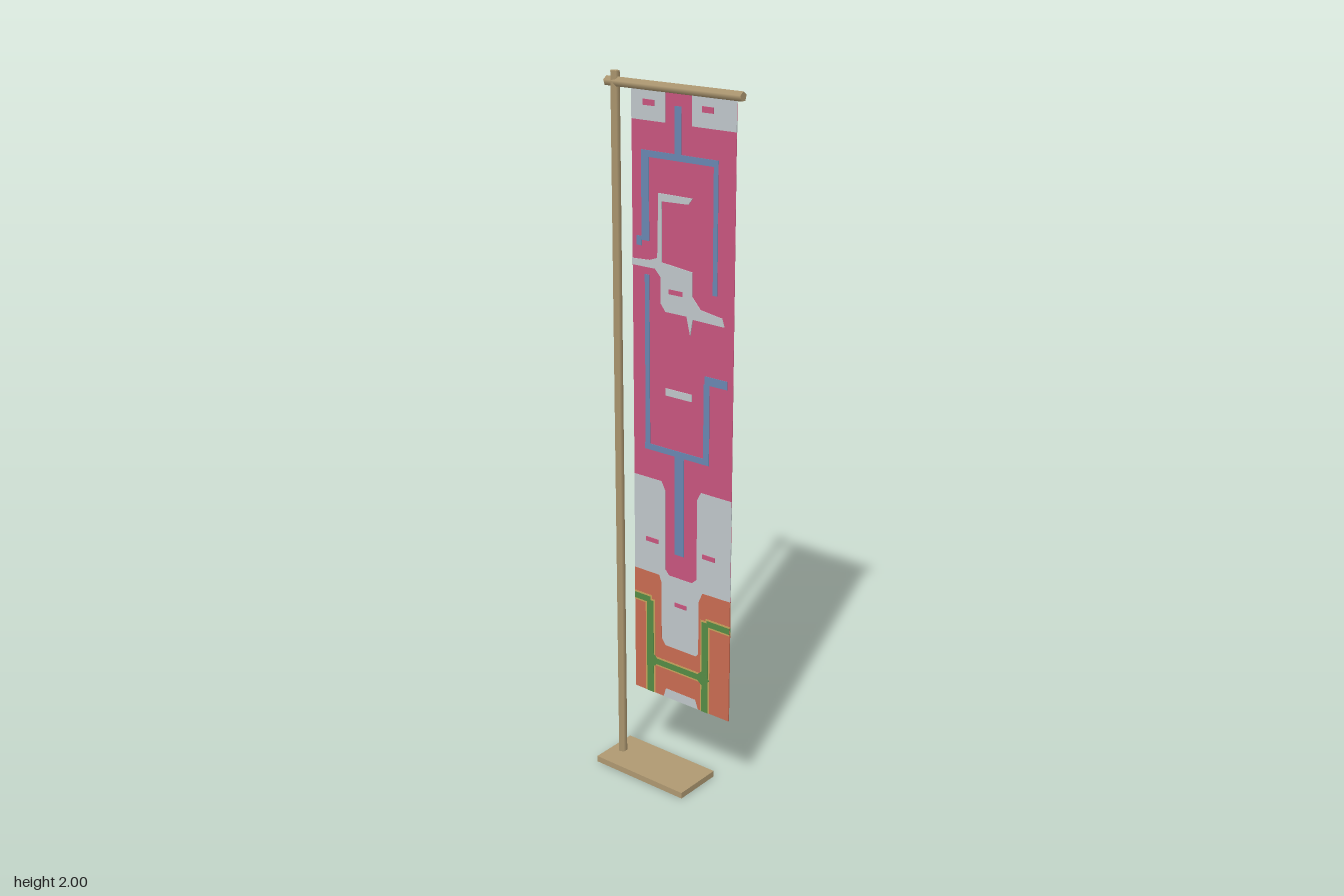
import * as THREE from 'three';

const mat = (name, color) => {
  const m = new THREE.MeshStandardMaterial({ color });
  m.name = name;
  return m;
};

export function createModel() {
  const wood = mat('wood', 0xb09a72);
  const pink = mat('pink cloth', 0xc9567f);
  const white = mat('pale grey cloth', 0xc1c8cc);
  const blue = mat('blue cloth', 0x6a88b2);
  const orange = mat('orange cloth', 0xca6c52);
  const green = mat('green cloth', 0x568c45);
  const gold = mat('gold trim', 0xc9a45c);

  const model = new THREE.Group();
  model.name = 'bannerStand';
  const add = (name, geo, material, parent = model) => {
    const mesh = new THREE.Mesh(geo, material);
    mesh.name = name;
    parent.add(mesh);
    return mesh;
  };

  // Stand: base plate, five-sided pole and crossbar
  add('base', new THREE.BoxGeometry(0.15, 0.018, 0.317), wood).position.set(0, 0.009, -0.0635);
  add('pole', new THREE.CylinderGeometry(0.013, 0.013, 1.99, 5, 1, false, Math.PI), wood)
    .position.set(0, 1.005, -0.187);
  const bar = new THREE.CylinderGeometry(0.013, 0.013, 0.435, 5, 1, false, Math.PI);
  bar.rotateX(Math.PI / 2);
  add('crossbar', bar, wood).position.set(0, 1.972, 0.0025);

  // Banner: thin layered plates in the z-y plane, seen from both sides
  const banner = new THREE.Group();
  banner.name = 'banner';
  model.add(banner);
  const patch = (name, material, layer, points) => {
    const depth = 0.001 + layer * 0.0016;
    const shape = new THREE.Shape(points.map(([z, y]) => new THREE.Vector2(z, y)));
    const geo = new THREE.ExtrudeGeometry(shape, { depth, bevelEnabled: false });
    geo.translate(0, 0, -depth / 2);
    geo.rotateY(-Math.PI / 2);
    add(name, geo, material, banner);
  };
  // Rectangles listed as [z0, z1, y0, y1]
  const rects = (name, material, layer, list) => list.forEach(([z0, z1, y0, y1]) =>
    patch(name, material, layer, [[z0, y0], [z1, y0], [z1, y1], [z0, y1]]));

  // Background fields
  rects('cloth', pink, 0, [[-0.132, 0.202, 0.256, 1.97]]);
  rects('topCorner', white, 1, [[0.064, 0.202, 1.885, 1.97], [-0.132, -0.021, 1.885, 1.97]]);
  patch('paleField', white, 1, [
    [0.202, 0.915], [0.1, 0.915], [0.087, 0.89], [0.087, 0.655], [0.07, 0.64],
    [-0.01, 0.64], [-0.023, 0.655], [-0.023, 0.89], [-0.036, 0.915], [-0.132, 0.915],
    [-0.132, 0.6], [0.202, 0.6],
  ]);
  patch('paleTongue', white, 1, [[0.11, 0.6], [0.11, 0.4], [-0.05, 0.4], [-0.05, 0.6]]);
  patch('orangeField', orange, 2, [
    [0.202, 0.256], [0.202, 0.622], [0.108, 0.62], [0.095, 0.59], [0.095, 0.43], [0.085, 0.42],
    [-0.023, 0.42], [-0.036, 0.44], [-0.036, 0.61], [-0.045, 0.632], [-0.132, 0.632], [-0.132, 0.256],
  ]);
  patch('bottomPatch', white, 3, [[0.095, 0.256], [0.085, 0.283], [-0.02, 0.283], [-0.028, 0.256]]);

  // Blue line work
  rects('blueLine', blue, 2, [
    [0.009, 0.031, 1.81, 1.93], [-0.1, 0.148, 1.793, 1.81],
    [0.134, 0.148, 1.465, 1.793], [-0.1, -0.075, 1.575, 1.793], [-0.117, -0.1, 1.56, 1.585],
    [0.11, 0.183, 1.222, 1.245], [0.107, 0.126, 1.015, 1.222],
    [-0.093, 0.126, 0.998, 1.015], [-0.09, -0.075, 1.015, 1.485], [0.01, 0.042, 0.71, 0.998],
  ]);

  // Pale emblem
  patch('emblem', white, 3, [
    [0.068, 1.705], [-0.043, 1.705], [-0.047, 1.535], [-0.075, 1.525], [-0.132, 1.522],
    [-0.132, 1.505], [-0.055, 1.505], [-0.036, 1.485], [-0.036, 1.415], [-0.02, 1.395],
    [0.05, 1.395], [0.062, 1.345], [0.07, 1.39], [0.172, 1.388], [0.165, 1.41],
    [0.095, 1.42], [0.068, 1.45], [0.068, 1.515], [-0.033, 1.525], [-0.033, 1.685], [0.055, 1.688],
  ]);
  rects('paleDash', white, 3, [[-0.02, 0.068, 1.165, 1.185]]);

  // Small pink dashes
  rects('pinkDash', pink, 4, [
    [0.097, 0.132, 1.923, 1.938], [-0.093, -0.055, 1.923, 1.938], [-0.008, 0.037, 1.445, 1.458],
    [0.108, 0.15, 0.725, 0.738], [-0.09, -0.047, 0.725, 0.738], [0.012, 0.052, 0.552, 0.564],
  ]);

  // Green stems with a thin gold edge
  const stems = [
    [0.125, 0.202, 0.525, 0.543], [0.108, 0.13, 0.256, 0.535],
    [-0.132, -0.075, 0.538, 0.556], [-0.088, -0.064, 0.256, 0.545], [-0.07, 0.115, 0.35, 0.368],
  ];
  const e = 0.005;
  rects('goldEdge', gold, 3, stems.map(([a, b, c, d]) =>
    [Math.max(a - e, -0.132), Math.min(b + e, 0.202), Math.max(c - e, 0.256), d + e]));
  rects('greenStem', green, 4, stems);
  for (const z of [0.112, -0.07]) {
    patch('stemKnot', green, 4.3,
      [[z - 0.028, 0.359], [z, 0.335], [z + 0.028, 0.359], [z, 0.385]]
        .map(([a, b]) => [THREE.MathUtils.clamp(a, -0.09, 0.135), b]));
  }
  return model;
}
